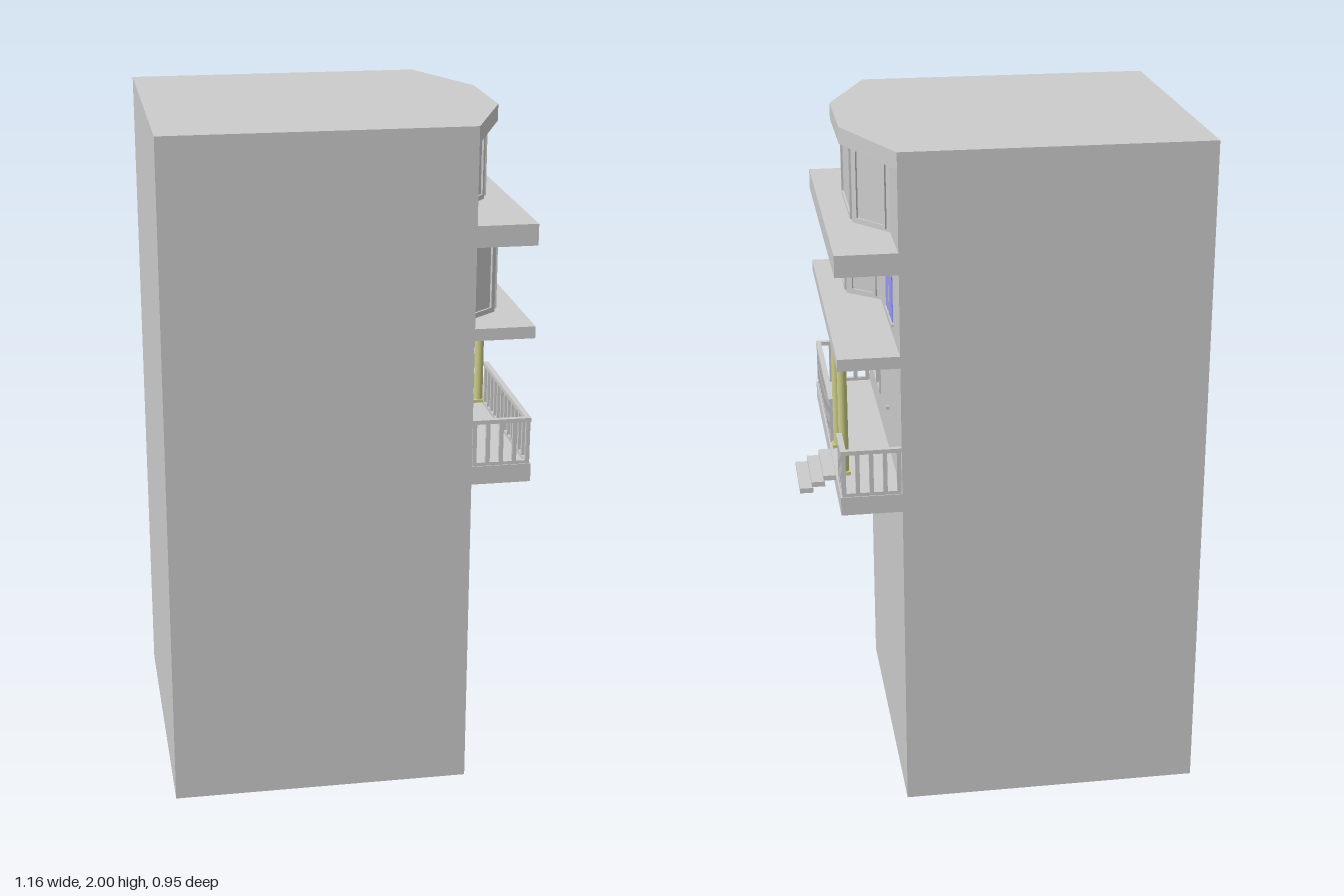
import * as THREE from 'three';

const grey = new THREE.MeshStandardMaterial({ color: 0xcccccc });
const cream = new THREE.MeshStandardMaterial({ color: 0xcccc88 });
const blue = new THREE.MeshStandardMaterial({ color: 0x9999ff });

const WALL = 0.30, HALF = 0.475;

// Box given by its minimum and maximum on each axis
function box(parent, name, x0, x1, y0, y1, z0, z1, mat = grey) {
  const m = new THREE.Mesh(new THREE.BoxGeometry(x1 - x0, y1 - y0, z1 - z0), mat);
  m.position.set((x0 + x1) / 2, (y0 + y1) / 2, (z0 + z1) / 2);
  m.name = name;
  parent.add(m);
  return m;
}

// Upright prism over a plan of [x, z] points
function prism(parent, name, plan, y0, y1) {
  const shape = new THREE.Shape(plan.map(([x, z]) => new THREE.Vector2(x, -z)));
  const g = new THREE.ExtrudeGeometry(shape, { depth: y1 - y0, bevelEnabled: false });
  g.rotateX(-Math.PI / 2);
  const m = new THREE.Mesh(g, grey);
  m.position.y = y0;
  m.name = name;
  parent.add(m);
}

// Raised rectangular frame on the wall running from plan point a to b
function frame(parent, name, a, b, y0, y1, margin, border = 0.01, depth = 0.006) {
  const dx = b[0] - a[0], dz = b[1] - a[1];
  const w = Math.hypot(dx, dz) / 2 - margin, h = (y1 - y0) / 2;
  const rect = (T, u, v) => new T([[-u, -v], [u, -v], [u, v], [-u, v]].map(p => new THREE.Vector2(...p)));
  const shape = rect(THREE.Shape, w, h);
  shape.holes.push(rect(THREE.Path, w - border, h - border));
  const m = new THREE.Mesh(new THREE.ExtrudeGeometry(shape, { depth, bevelEnabled: false }), grey);
  m.position.set((a[0] + b[0]) / 2, (y0 + y1) / 2, (a[1] + b[1]) / 2);
  m.rotation.y = Math.atan2(-dz, dx);
  m.name = name;
  parent.add(m);
}

// Three-sided bay window with a frame on each face
function bayWindow(parent, name, zs, y0, y1) {
  const g = new THREE.Group();
  g.name = name;
  const xs = [WALL, 0.395, 0.395, WALL];
  const plan = xs.map((x, i) => [x, zs[i]]);
  prism(g, 'bayBody', plan, y0, y1);
  for (let i = 0; i < 3; i++) {
    frame(g, 'bayFrame', plan[i], plan[i + 1], y0 + 0.008, y1 - 0.008, i === 1 ? 0.004 : 0.014);
  }
  parent.add(g);
}

// Railing from plan point a to b, with evenly spaced balusters
function railing(parent, a, b, count) {
  const g = new THREE.Group();
  g.name = 'railing';
  const [x0, x1] = [Math.min(a[0], b[0]), Math.max(a[0], b[0])];
  const [z0, z1] = [Math.min(a[1], b[1]), Math.max(a[1], b[1])];
  box(g, 'handrail', x0 - 0.008, x1 + 0.008, 1.138, 1.15, z0 - 0.008, z1 + 0.008);
  box(g, 'bottomRail', x0 - 0.006, x1 + 0.006, 1.01, 1.02, z0 - 0.006, z1 + 0.006);
  for (let i = 0; i <= count; i++) {
    const t = i / count;
    const x = a[0] + (b[0] - a[0]) * t, z = a[1] + (b[1] - a[1]) * t;
    box(g, 'baluster', x - 0.006, x + 0.006, 1.01, 1.14, z - 0.006, z + 0.006);
  }
  parent.add(g);
}

export function createModel() {
  const model = new THREE.Group();
  model.name = 'townhouse';

  // Main block, floor ledges and porch
  box(model, 'building', -0.583, WALL, 0, 2, -HALF, HALF);
  box(model, 'porchFloor', WALL, HALF, 0.955, 1.01, -HALF, HALF);
  box(model, 'porchRoof', WALL, HALF, 1.39, 1.425, -HALF, HALF);
  box(model, 'upperLedge', WALL, HALF, 1.66, 1.722, -HALF, HALF);
  prism(model, 'roofOverhang', [[WALL, HALF], [0.428, 0.157], [0.428, -0.157], [WALL, -HALF]], 1.952, 2);

  // Bay windows
  bayWindow(model, 'topBayWindow', [0.268, 0.15, -0.15, -0.272], 1.722, 1.952);
  bayWindow(model, 'middleBayWindow', [0.39, 0.312, 0.118, 0.038], 1.425, 1.66);

  // Small two-pane window
  const small = new THREE.Group();
  small.name = 'smallWindow';
  box(small, 'pane', WALL, 0.303, 1.468, 1.603, -0.221, -0.142, blue);
  box(small, 'pane', WALL, 0.303, 1.468, 1.603, -0.305, -0.23, blue);
  box(small, 'mullion', WALL, 0.304, 1.463, 1.607, -0.23, -0.221);
  box(small, 'lintel', WALL, 0.306, 1.605, 1.612, -0.313, -0.134);
  box(small, 'sill', WALL, 0.306, 1.456, 1.464, -0.313, -0.134);
  model.add(small);

  // Ground floor window, a wide pane between two narrow ones
  const ground = new THREE.Group();
  ground.name = 'porchWindow';
  frame(ground, 'outerFrame', [WALL, 0.408], [WALL, 0.09], 1.1, 1.312, 0, 0.007, 0.005);
  for (const [z0, z1] of [[0.402, 0.33], [0.318, 0.18], [0.168, 0.096]]) {
    frame(ground, 'paneFrame', [WALL, z0], [WALL, z1], 1.105, 1.307, 0, 0.007, 0.006);
  }
  model.add(ground);

  // Door handle
  box(model, 'doorHandle', WALL, 0.31, 1.143, 1.153, -0.152, -0.142);

  // Porch columns with square bases and capitals
  for (const z of [-0.09, -0.3]) {
    const column = new THREE.Group();
    column.name = 'column';
    const shaft = new THREE.Mesh(new THREE.CylinderGeometry(0.014, 0.014, 0.38, 16), cream);
    shaft.position.set(0.45, 1.2, z);
    shaft.name = 'shaft';
    column.add(shaft);
    for (const y of [1.01, 1.38]) {
      box(column, 'columnBlock', 0.432, 0.468, y, y + 0.01, z - 0.018, z + 0.018, cream);
    }
    model.add(column);
  }

  // Railings around the porch, open at the steps
  railing(model, [0.465, 0.466], [0.465, -0.052], 12);
  railing(model, [0.465, -0.34], [0.465, -0.466], 3);
  for (const z of [0.466, -0.466]) railing(model, [0.308, z], [0.465, z], 4);

  // Thin overlapping steps
  for (let i = 0; i < 3; i++) {
    const x = 0.472 + i * 0.035, y = 0.992 - i * 0.018;
    box(model, 'step', x, x + 0.039, y - 0.003, y + 0.012, -0.298, -0.095);
  }
  return model;
}
